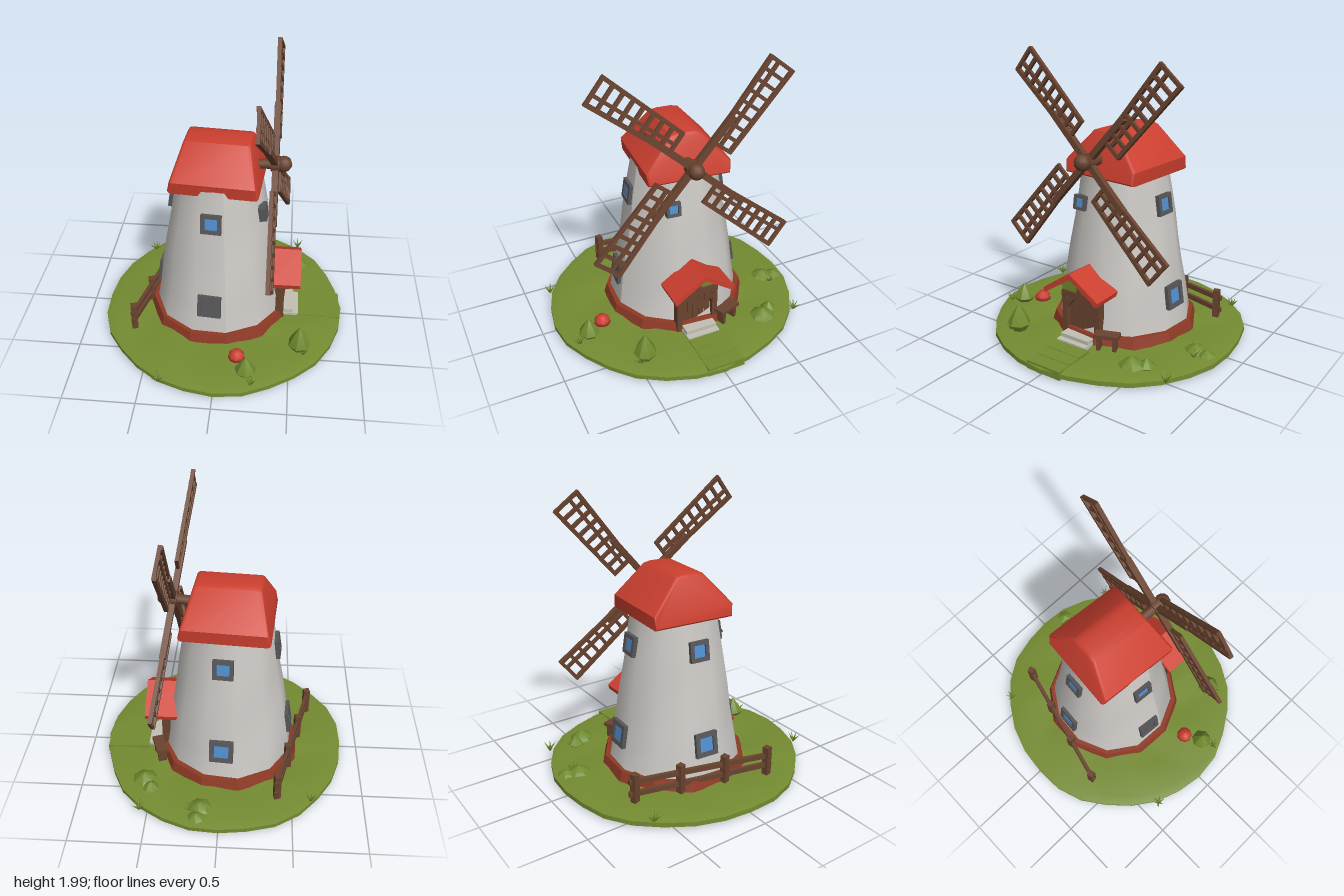
import * as THREE from 'three';
import { toCreasedNormals } from 'three/addons/utils/BufferGeometryUtils.js';

const mat = (name, color, side = THREE.FrontSide) => {
  const m = new THREE.MeshStandardMaterial({ color, side });
  m.name = name;
  return m;
};

export function createModel() {
  const M = {
    red: mat('roofRed', 0xcb3f2f), plaster: mat('plaster', 0xcbc8c4), brick: mat('brick', 0x8f3a26),
    wood: mat('wood', 0x69432f), grass: mat('grass', 0x748b31), leaf: mat('leaf', 0x6f8a2e),
    frame: mat('windowFrame', 0x57575a), glass: mat('glass', 0x4f8fd0), stone: mat('stepStone', 0xc2c0b4),
  };
  const model = new THREE.Group();
  model.name = 'windmill';

  const group = (name, parent, x = 0, y = 0, z = 0) => {
    const g = new THREE.Group();
    g.name = name;
    g.position.set(x, y, z);
    parent.add(g);
    return g;
  };
  const add = (parent, name, geo, m, x = 0, y = 0, z = 0) => {
    const mesh = new THREE.Mesh(geo, m);
    mesh.name = name;
    mesh.position.set(x, y, z);
    parent.add(mesh);
    return mesh;
  };
  const box = (parent, name, m, w, h, d, x, y, z) => add(parent, name, new THREE.BoxGeometry(w, h, d), m, x, y, z);
  // Square bar between two points
  const bar = (parent, name, m, a, b, w, h = w) => {
    const p = new THREE.Vector3(...a), q = new THREE.Vector3(...b);
    const mesh = box(parent, name, m, w, h, p.distanceTo(q), 0, 0, 0);
    mesh.position.copy(p).add(q).multiplyScalar(0.5);
    mesh.quaternion.setFromUnitVectors(new THREE.Vector3(0, 0, 1), q.sub(p).normalize());
    return mesh;
  };
  const lathe = (pts, n) => new THREE.LatheGeometry(pts.map(p => new THREE.Vector2(...p)), n);
  // Profile given as [z, y], extruded along +x
  const extrudeX = (pts, depth, opts = {}) => {
    const s = new THREE.Shape(pts.map(([z, y]) => new THREE.Vector2(-z, y)));
    return new THREE.ExtrudeGeometry(s, { depth, bevelEnabled: false, ...opts }).rotateY(Math.PI / 2);
  };
  const warp = (geo, rule) => {
    const p = geo.attributes.position, v = new THREE.Vector3();
    for (let i = 0; i < p.count; i++) {
      v.fromBufferAttribute(p, i);
      rule(v);
      p.setXYZ(i, v.x, v.y, v.z);
    }
    geo.computeVertexNormals();
    return geo;
  };

  // Grass island with an uneven rim and gentle lumps
  const island = warp(lathe([[0, 0.005], [0.84, 0.005], [0.89, 0.02], [0.89, 0.052], [0.83, 0.066], [0.62, 0.066], [0.4, 0.07], [0, 0.07]], 28), v => {
    const a = Math.atan2(v.z, v.x), r = Math.hypot(v.x, v.z);
    if (r < 0.1) return;
    const k = 1 + 0.008 * Math.sin(5 * a) + 0.006 * Math.cos(9 * a);
    v.x *= k * 0.985;
    v.z *= k * 1.015;
    if (v.y > 0.06 && r < 0.7) v.y += 0.01 * Math.sin(7 * a + r * 9);
  });
  add(model, 'island', toCreasedNormals(island, 0.7), M.grass);

  // Building: brick foot, plaster tower, roof, windows
  const house = group('building', model, -0.035, 0, -0.035);
  house.rotation.y = -0.08;
  const foot = new THREE.CylinderGeometry(0.5, 0.525, 0.085, 12).rotateY(Math.PI / 12);
  add(house, 'brickFoot', toCreasedNormals(foot, 0.4), M.brick, 0, 0.09, 0);
  const tower = warp(new THREE.CylinderGeometry(0.295, 0.47, 1.09, 12, 6, true).rotateY(Math.PI / 12), v => {
    const a = Math.atan2(v.z, v.x), k = 1 + 0.012 * Math.sin(3 * a + v.y * 9);
    v.x *= k;
    v.z *= k;
  });
  add(house, 'tower', tower, M.plaster, 0, 0.665, 0);

  const roof = extrudeX([[0.265, 1.18], [0.275, 1.25], [0.09, 1.455], [0.04, 1.465], [-0.06, 1.465], [-0.1, 1.455], [-0.29, 1.25], [-0.285, 1.18]], 0.56,
    { bevelEnabled: true, bevelSize: 0.015, bevelThickness: 0.025, bevelSegments: 2 }).translate(-0.28, 0, 0);
  warp(roof, v => { v.x *= 1 - 0.28 * Math.max(0, (v.y - 1.2) / 0.28); });
  add(house, 'roof', toCreasedNormals(roof, 0.6), M.red);

  const windowAt = (angle, y, size, pane, shift = 0) => {
    const turn = group('windowMount', house);
    turn.rotation.y = angle;
    const w = group('window', turn, shift, y, 0.455 - 0.16 * (y - 0.13) / 1.03);
    w.rotation.x = -0.155;
    const t = size * 0.19, o = (size - t) / 2;
    for (const s of [-1, 1]) {
      box(w, 'windowJamb', M.frame, t, size, 0.05, s * o, 0, 0);
      box(w, 'windowLintel', M.frame, size - 2 * t, t, 0.05, 0, s * o, 0);
    }
    box(w, 'windowPane', pane, size - 2 * t, size - 2 * t, 0.008, 0, 0, 0.008);
  };
  for (const a of [0, Math.PI, -Math.PI / 2]) {
    windowAt(a, 0.985, 0.14, M.glass);
    windowAt(a, 0.35, 0.165, a === 0 ? M.frame : M.glass);
  }
  windowAt(Math.PI / 2, 0.985, 0.1, M.glass, -0.12);

  // Sails: axle, hub and four lattice blades
  const sails = group('sails', model, 0.345, 1.3, 0);
  sails.rotation.set(0, -0.08, 0.085, 'YZX');
  add(sails, 'axle', new THREE.CylinderGeometry(0.035, 0.035, 0.3, 10).rotateZ(Math.PI / 2), M.wood, -0.09, 0, 0);
  add(sails, 'hub', new THREE.SphereGeometry(0.055, 12, 8), M.wood, 0.055, 0, 0);
  add(sails, 'hubCollar', new THREE.CylinderGeometry(0.055, 0.055, 0.06, 10).rotateZ(Math.PI / 2), M.wood);
  for (let i = 0; i < 4; i++) {
    const blade = group('blade', sails);
    blade.rotation.x = -0.664 + i * Math.PI / 2;
    const wide = u => 0.155 + 0.04 * (u - 0.2) / 0.65;
    bar(blade, 'spar', M.wood, [0, 0, 0], [0, 0.022, 0.42], 0.042);
    bar(blade, 'innerRail', M.wood, [0, 0.012, 0.2], [0, 0.008, 0.86], 0.028);
    bar(blade, 'middleRail', M.wood, [0, 0.07, 0.2], [0, 0.075, 0.86], 0.022);
    bar(blade, 'outerRail', M.wood, [0, wide(0.2), 0.2], [0, wide(0.86), 0.86], 0.026);
    for (let k = 0; k < 9; k++) {
      const u = 0.21 + k * 0.08;
      bar(blade, 'rung', M.wood, [0.004, 0, u], [0.004, wide(u) + 0.005, u], 0.022, 0.024);
    }
  }

  // Porch with gable roof, door and steps
  const porch = group('porch', model);
  add(porch, 'porchRoof', extrudeX([[0, 0.59], [0.225, 0.44], [0.215, 0.405], [0, 0.55], [-0.215, 0.405], [-0.225, 0.44]], 0.23), M.red, 0.33, 0, 0);
  add(porch, 'gable', extrudeX([[0, 0.555], [0.16, 0.435], [0.13, 0.31], [0.1, 0.38], [-0.1, 0.38], [-0.13, 0.31], [-0.16, 0.435]], 0.06), M.leaf, 0.385, 0, 0);
  box(porch, 'porchBeam', M.wood, 0.06, 0.045, 0.3, 0.43, 0.385, 0);
  box(porch, 'kingPost', M.wood, 0.04, 0.12, 0.035, 0.445, 0.47, 0);
  for (const s of [-1, 1]) {
    box(porch, 'porchPost', M.wood, 0.06, 0.31, 0.04, 0.42, 0.22, s * 0.135);
    bar(porch, 'porchBrace', M.wood, [0.43, 0.29, s * 0.125], [0.43, 0.37, s * 0.06], 0.035);
  }
  const door = group('door', porch);
  for (let i = -2; i <= 2; i++) box(door, 'doorPlank', M.wood, 0.05, 0.27 - Math.abs(i) * 0.008, 0.042, 0.395, 0.235, i * 0.044);
  box(porch, 'upperStep', M.stone, 0.14, 0.04, 0.23, 0.45, 0.095, 0);
  box(porch, 'lowerStep', M.stone, 0.12, 0.03, 0.24, 0.5, 0.073, 0);
  for (let i = 0; i < 3; i++) box(porch, 'grassStep', M.grass, 0.11, 0.06, 0.27, 0.61 + i * 0.1, 0.048 - i * 0.004, -0.015);

  // Small bench beside the door
  const bench = group('bench', model, 0.46, 0, -0.23);
  bench.rotation.y = 0.35;
  box(bench, 'benchSeat', M.wood, 0.08, 0.025, 0.17, 0, 0.175, 0);
  for (const s of [-1, 1]) box(bench, 'benchLeg', M.wood, 0.06, 0.11, 0.025, 0, 0.115, s * 0.055);

  // Fence on the far side
  const fence = group('fence', model);
  const at = (t, y) => [-0.385 - 0.245 * t, y, -0.63 + 1.0 * t];
  for (const t of [0.04, 0.35, 0.66, 0.97]) {
    const p = at(t, 0.16);
    box(fence, 'fencePost', M.wood, 0.045, 0.22, 0.045, ...p).rotation.y = 0.24;
  }
  bar(fence, 'fenceRail', M.wood, at(0, 0.215), at(1, 0.205), 0.025, 0.035);
  bar(fence, 'fenceRail', M.wood, at(0, 0.125), at(1, 0.135), 0.025, 0.035);

  // Bushes
  for (const [x, z, h, r] of [[0.57, 0.45, 0.2, 0.08], [0.21, 0.72, 0.15, 0.075], [0.54, -0.48, 0.08, 0.09], [0.49, -0.56, 0.07, 0.06], [0.13, -0.72, 0.06, 0.08], [0.15, -0.81, 0.05, 0.06]]) {
    const bush = lathe([[r * 0.6, 0], [r, h * 0.25], [r * 0.75, h * 0.5], [r * 0.35, h * 0.78], [0, h]], 7);
    add(model, 'bush', toCreasedNormals(bush, 0.5), M.leaf, x, 0.06, z).rotation.y = x * 9;
  }

  // Mushroom
  add(model, 'mushroomCap', lathe([[0.02, 0], [0.058, 0.01], [0.055, 0.04], [0.03, 0.068], [0, 0.074]], 9), M.red, 0.14, 0.075, 0.6);
  add(model, 'mushroomStem', new THREE.CylinderGeometry(0.022, 0.026, 0.04, 8), M.plaster, 0.14, 0.075, 0.6);

  // Grass tufts
  for (const [x, z] of [[0.55, -0.74], [-0.63, -0.6], [-0.38, 0.83], [0.25, 0.81], [0.2, -0.74], [0.6, 0.5]]) {
    const tuft = group('grassTuft', model, x, 0.055, z);
    for (let i = 0; i < 6; i++) {
      const stem = group('bladeTurn', tuft);
      stem.rotation.set(0, i * 1.05 + x, 0.55 + 0.2 * (i % 2), 'YXZ');
      add(stem, 'grassBlade', new THREE.ConeGeometry(0.01, 0.075, 4), M.leaf, 0, 0.035, 0);
    }
  }
  return model;
}
